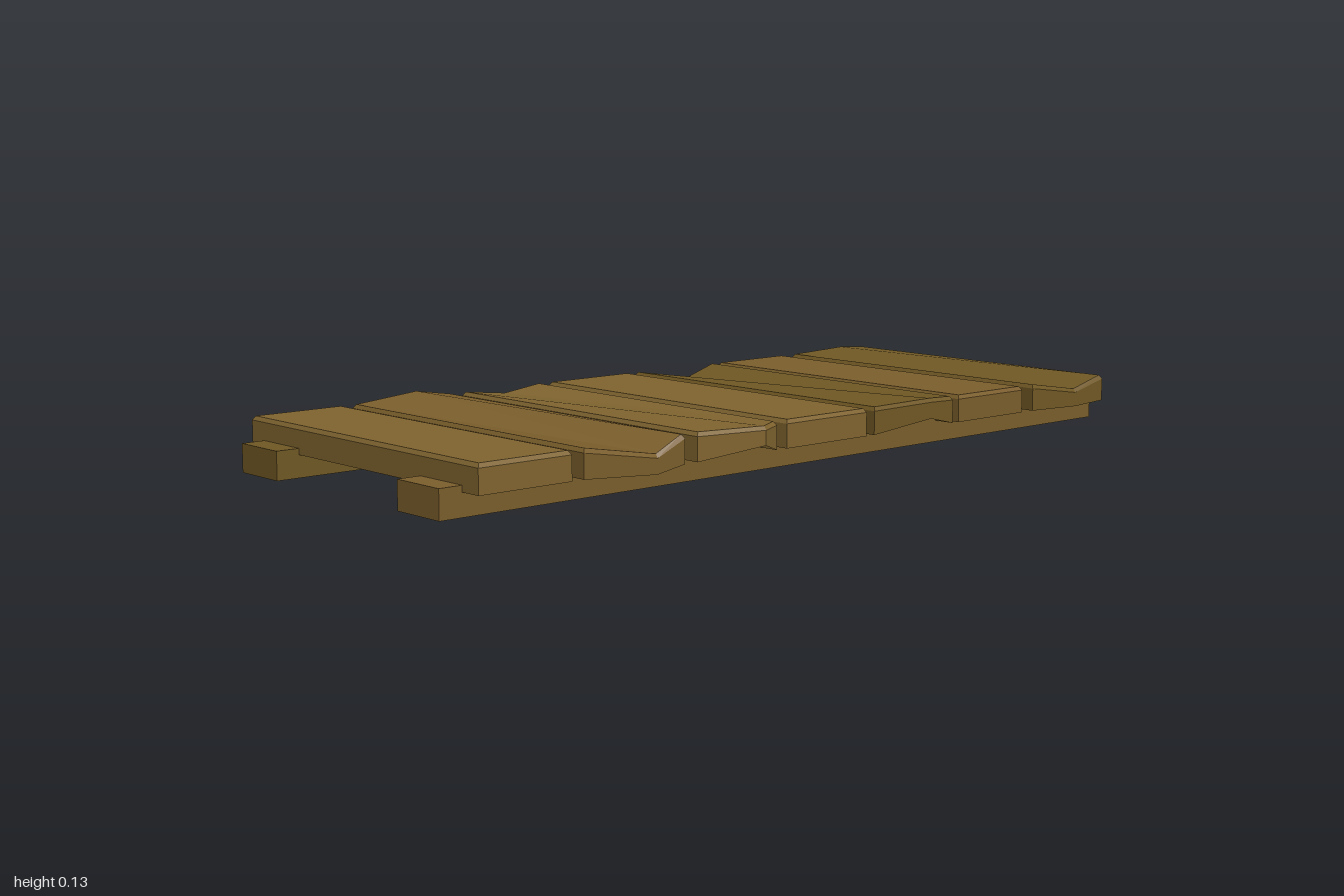
import * as THREE from 'three';

const HALF = 0.413, LOW = 0.05, TOP = 0.113;

function wood(color) {
  return new THREE.MeshStandardMaterial({ color, flatShading: true, side: THREE.DoubleSide });
}

// Stacks six-point rings into walls and closes the top with two quads; the underside stays open.
// Ring order: right front, left front, left middle, left back, right back, right middle.
function openBlock(rings) {
  const index = [];
  const quad = (a, b, c, d) => index.push(a, b, c, a, c, d);
  for (let r = 0; r < rings.length - 1; r++) {
    for (let i = 0; i < 6; i++) {
      const j = (i + 1) % 6, lo = r * 6, hi = lo + 6;
      quad(lo + i, lo + j, hi + j, hi + i);
    }
  }
  const t = (rings.length - 1) * 6;
  quad(t, t + 1, t + 2, t + 5);
  quad(t + 5, t + 2, t + 3, t + 4);
  const indexed = new THREE.BufferGeometry();
  indexed.setAttribute('position', new THREE.Float32BufferAttribute(rings.flat(2), 3));
  indexed.setIndex(index);
  const geometry = indexed.toNonIndexed();
  geometry.computeVertexNormals();
  return geometry;
}

// Middle of a plank end: x = reach, z = ridge position, low and top = heights
function plankGeometry(back, front, right, left) {
  const bevelIn = 0.006, bevelDown = 0.009;
  const ring = (pick, inset) => [
    [-HALF + inset, pick({ low: LOW, top: TOP }), front - inset],
    [HALF - inset, pick({ low: LOW, top: TOP }), front - inset],
    [left.x - inset, pick(left), left.z],
    [HALF - inset, pick({ low: LOW, top: TOP }), back + inset],
    [-HALF + inset, pick({ low: LOW, top: TOP }), back + inset],
    [-right.x + inset, pick(right), right.z],
  ];
  return openBlock([
    ring(p => p.low, 0),
    ring(p => p.top - bevelDown, 0),
    ring(p => p.top, bevelIn),
  ]);
}

function beamGeometry(x0, x1) {
  const ring = y => [[x0, y, 1], [x1, y, 1], [x1, y, 0], [x1, y, -1], [x0, y, -1], [x0, y, 0]];
  return openBlock([ring(0), ring(0.064)]);
}

export function createModel() {
  const group = new THREE.Group();
  const light = wood(0x80642f), medium = wood(0x7b5e2c), dark = wood(0x705824);

  const add = (name, geometry, material) => {
    const mesh = new THREE.Mesh(geometry, material);
    mesh.name = name;
    group.add(mesh);
  };

  // Two long beams under the deck
  add('rightBeam', beamGeometry(-0.365, -0.225), dark);
  add('leftBeam', beamGeometry(0.22, 0.36), medium);

  // Planks from back to front, some with warped or pointed ends
  const planks = [
    { back: -0.98, front: -0.71, material: dark,
      right: { z: -0.89, top: 0.119, low: 0.06 }, left: { z: -0.875, top: 0.088, low: 0.045 } },
    { back: -0.67, front: -0.44, material: medium },
    { back: -0.42, front: -0.155, material: dark,
      right: { z: -0.32, top: 0.083 }, left: { z: -0.345, top: 0.115, low: 0.068 } },
    { back: -0.13, front: 0.12, material: light },
    { back: 0.15, front: 0.38, material: light,
      right: { x: 0.445, z: 0.235, top: 0.094, low: 0.055 },
      left: { x: 0.442, z: 0.21, top: 0.112, low: 0.07 } },
    { back: 0.415, front: 0.685, material: medium,
      right: { z: 0.515, top: 0.128, low: 0.065 }, left: { z: 0.49, top: 0.08, low: 0.037 } },
    { back: 0.715, front: 0.945, material: light },
  ];
  planks.forEach(({ back, front, material, right, left }, i) => {
    const straight = { x: HALF, z: (back + front) / 2, low: LOW, top: TOP };
    add(`plank${i + 1}`,
      plankGeometry(back, front, { ...straight, ...right }, { ...straight, ...left }), material);
  });

  return group;
}
